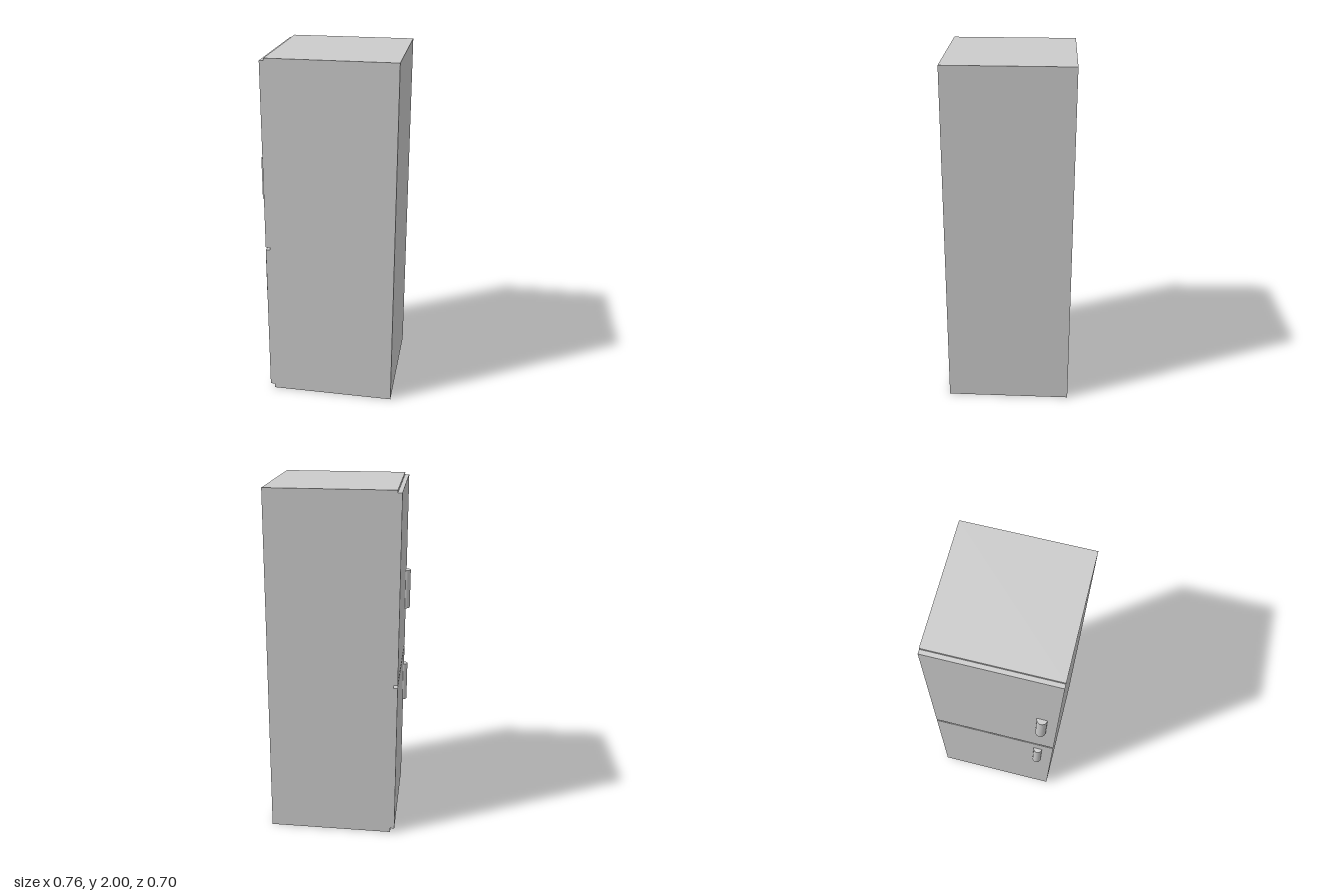
import * as THREE from 'three';

export function createModel() {
  const group = new THREE.Group();
  const material = new THREE.MeshStandardMaterial({ color: 0xcccccc });
  const depth = 0.705;
  const doorFace = -0.35;
  const cabinetFace = -0.326;

  function add(name, geometry, x, y, z) {
    const mesh = new THREE.Mesh(geometry, material);
    mesh.name = name;
    mesh.position.set(x, y, z);
    group.add(mesh);
  }

  // Slab given by its x and y extents, running the full depth
  function addSlab(name, x0, x1, y0, y1) {
    add(name, new THREE.BoxGeometry(x1 - x0, y1 - y0, depth), (x0 + x1) / 2, (y0 + y1) / 2, 0);
  }

  // Cabinet, with the two doors on its -x side
  addSlab('cabinet', cabinetFace, 0.379, 0, 2);
  addSlab('lowerDoor', doorFace, cabinetFace, 0.026, 0.917);
  addSlab('upperDoor', doorFace, cabinetFace, 0.932, 1.987);

  // Half-round upright handles standing out from the doors
  function addHandle(name, radius, y0, y1, z) {
    const geometry = new THREE.CylinderGeometry(radius, radius, y1 - y0, 32, 1, false, Math.PI, Math.PI);
    add(name, geometry, doorFace, (y0 + y1) / 2, z);
  }
  addHandle('upperHandle', 0.029, 1.2, 1.435, 0.267);
  addHandle('lowerHandle', 0.025, 0.6, 0.837, 0.264);

  return group;
}
